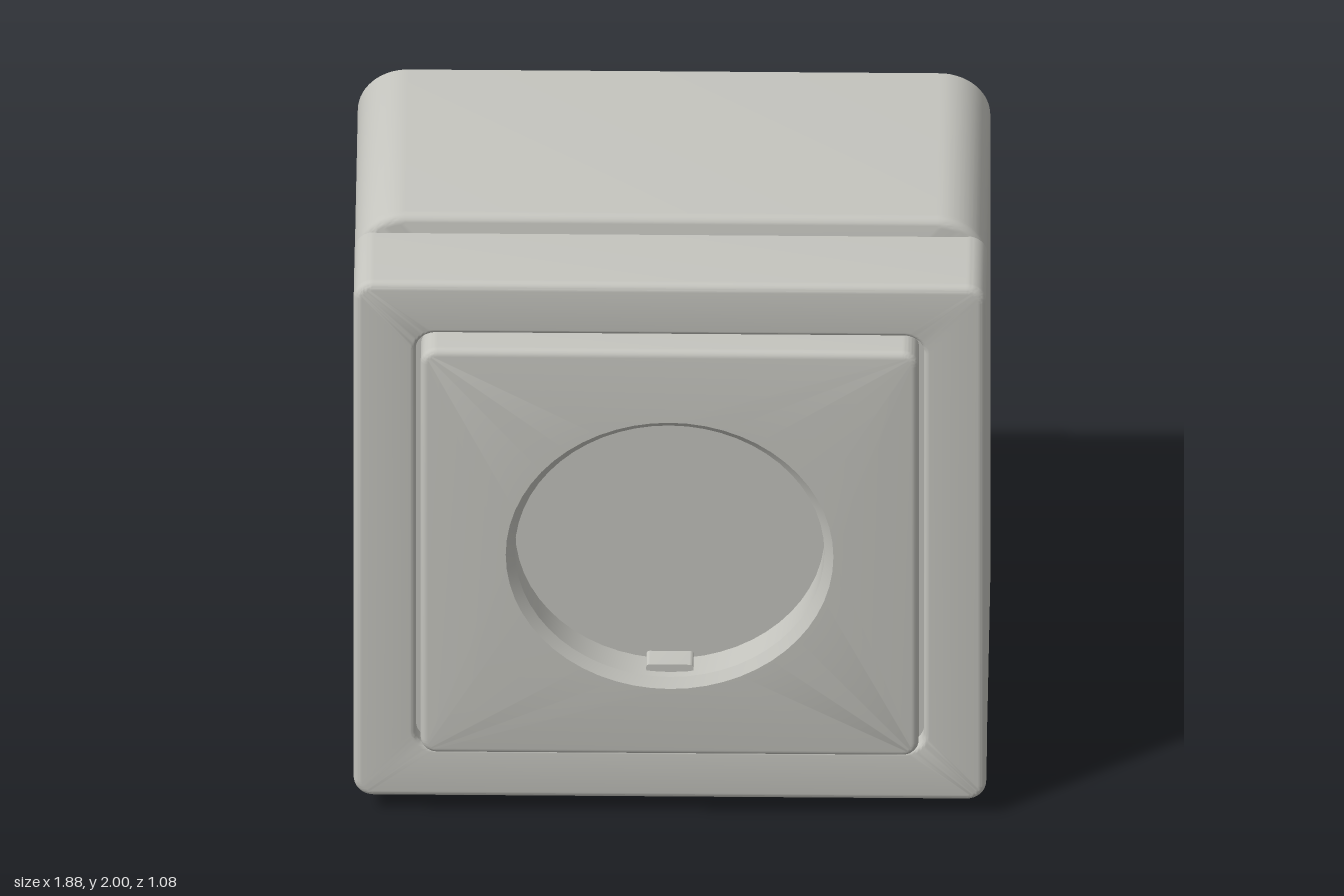
import * as THREE from 'three';
import { toCreasedNormals } from 'three/addons/utils/BufferGeometryUtils.js';

const ARC = 14; // steps per rounded corner

// Points of a rounded rectangle, counter-clockwise seen from the front
function ringPoints([hw, hh, r, z]) {
  const pts = [];
  for (let c = 0; c < 4; c++) {
    const sx = c === 0 || c === 3 ? 1 : -1;
    const sy = c < 2 ? 1 : -1;
    for (let k = 0; k <= ARC; k++) {
      const a = (c + k / ARC) * Math.PI / 2;
      pts.push([sx * (hw - r) + r * Math.cos(a), sy * (hh - r) + r * Math.sin(a), z]);
    }
  }
  return pts;
}

// Skin through a list of rounded-rectangle rings [halfWidth, halfHeight, cornerRadius, z]
function loft(rings) {
  const pos = [], index = [], n = 4 * (ARC + 1);
  rings.forEach((ring) => ringPoints(ring).forEach((p) => pos.push(...p)));
  for (let i = 0; i < rings.length - 1; i++) {
    for (let j = 0; j < n; j++) {
      const k = (j + 1) % n;
      const a = i * n + j, b = i * n + k, c = b + n, d = a + n;
      index.push(a, b, c, a, c, d);
    }
  }
  const geo = new THREE.BufferGeometry();
  geo.setAttribute('position', new THREE.Float32BufferAttribute(pos, 3));
  geo.setIndex(index);
  return toCreasedNormals(geo, 0.4);
}

// Rounded front edge running from the side wall onto the front face
function outerEdge(hw, hh, r, z, e, steps = 6) {
  return Array.from({ length: steps + 1 }, (_, i) => {
    const a = (i / steps) * Math.PI / 2, inset = e * (1 - Math.cos(a));
    return [hw - inset, hh - inset, r - inset, z - e + e * Math.sin(a)];
  });
}

// Rounded edge running from the front face down into an opening
function innerEdge(hw, hh, r, z, e, steps = 6) {
  return outerEdge(hw, hh, r, z, -e, steps).reverse()
    .map(([w, h, q, d]) => [w, h, q, 2 * z - d]);
}

export function createModel() {
  const group = new THREE.Group();
  const plastic = new THREE.MeshStandardMaterial({ color: 0xc4c4be });
  plastic.name = 'warmGreyPlastic';
  const add = (name, rings, y = 1) => {
    const mesh = new THREE.Mesh(loft(rings), plastic);
    mesh.name = name;
    mesh.position.y = y;
    group.add(mesh);
  };

  // Surface-mounted back box
  add('backBox', [
    [0, 0, 0, -0.54],
    [0.94, 1, 0.15, -0.54],
    ...outerEdge(0.94, 1, 0.15, 0.21, 0.03),
    [0, 0, 0, 0.21],
  ]);

  // Cover frame with a square opening and a shallow groove floor
  add('coverFrame', [
    [0, 0, 0, 0.206],
    [0.94, 0.94, 0.06, 0.206],
    ...outerEdge(0.94, 0.94, 0.06, 0.47, 0.025),
    ...innerEdge(0.755, 0.757, 0.06, 0.47, 0.017),
    [0.755, 0.757, 0.06, 0.42],
    [0.7, 0.7, 0.05, 0.42],
  ]);

  // Slightly crowned insert with a chamfered round recess
  add('socketInsert', [
    [0.74, 0.738, 0.05, 0.4],
    ...outerEdge(0.74, 0.738, 0.05, 0.531, 0.022),
    [0.487, 0.487, 0.487, 0.539],
    [0.46, 0.46, 0.46, 0.515],
    [0.46, 0.46, 0.46, 0.42],
    [0, 0, 0, 0.42],
  ], 1.002);

  // Earth contact clips at the top and bottom of the recess
  for (const [name, side] of [['upperContact', 1], ['lowerContact', -1]]) {
    add(name, [
      [0.07, 0.014, 0.01, 0.41],
      [0.07, 0.014, 0.01, 0.49],
      [0, 0, 0, 0.49],
    ], 1.002 + side * 0.447);
  }

  return group;
}
